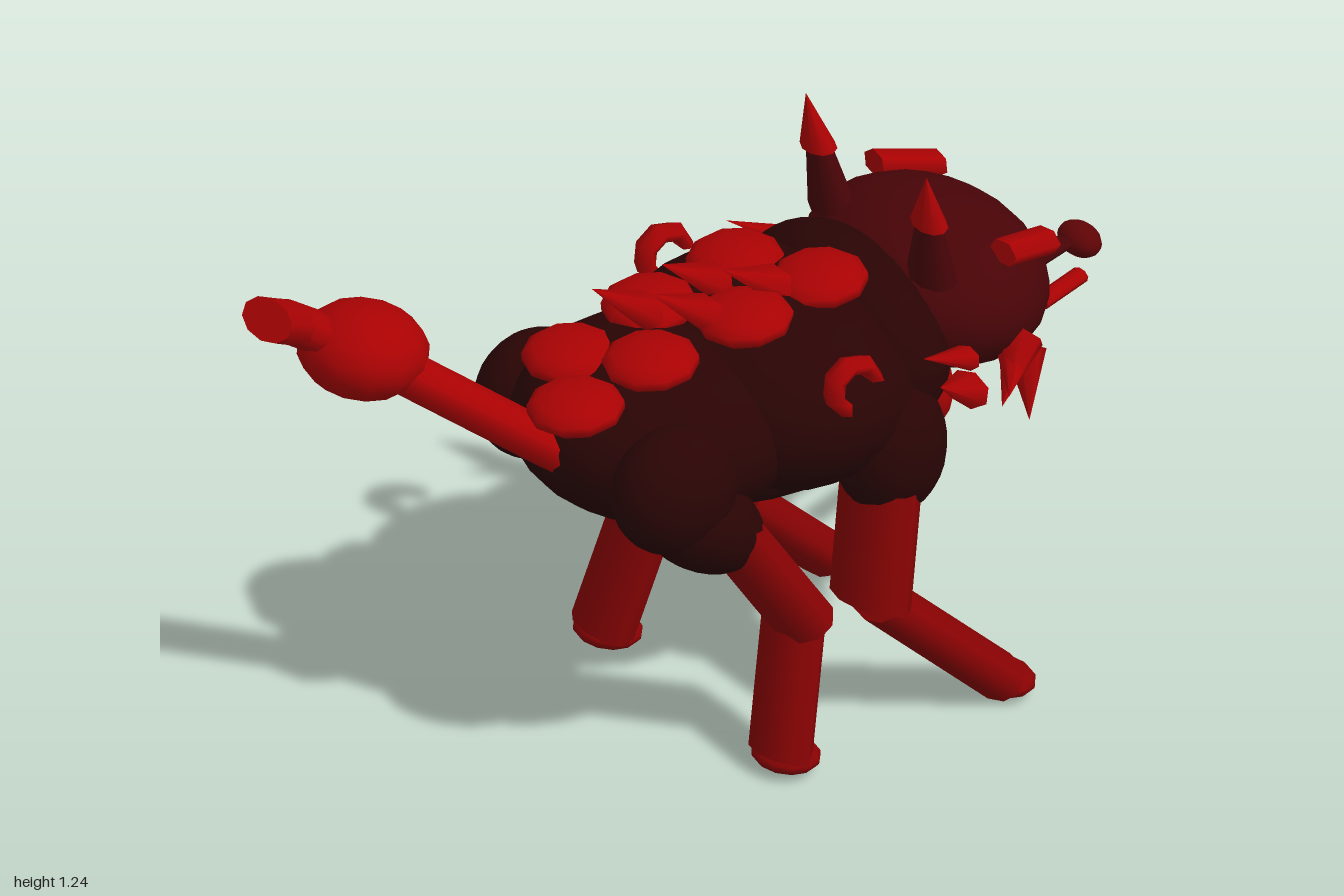
import * as THREE from 'three';

const S = 1.6; // the animal is broadened sideways by this factor
const mat = (name, color) => Object.assign(new THREE.MeshStandardMaterial({ color }), { name });

export function createModel() {
  const coat = mat('darkCoat', 0x2a0404);
  const face = mat('maroon', 0x480407);
  const noseRed = mat('noseRed', 0x5e0406);
  const limb = mat('deepRed', 0x880203);
  const red = mat('red', 0xaa0203);

  const model = new THREE.Group();
  model.name = 'animal';
  const wide = new THREE.Group();
  wide.name = 'body';
  wide.scale.z = S;
  model.add(wide);

  const V = (p) => new THREE.Vector3(p[0], p[1], p[2] / S);
  const add = (name, geo, m, p) => {
    const mesh = new THREE.Mesh(geo, m);
    mesh.name = name;
    mesh.position.copy(V(p));
    wide.add(mesh);
    return mesh;
  };
  const ball = (name, m, p, r, tilt = 0, seg = 24) => {
    const b = add(name, new THREE.SphereGeometry(1, seg, Math.ceil(seg * 0.67)), m, p);
    b.scale.set(r[0], r[1], r[2] / S);
    b.rotation.z = tilt;
    return b;
  };
  // tapered rod from a to b
  const rod = (name, m, a, b, ra, rb = ra, seg = 10) => {
    const A = V(a), d = V(b).sub(A);
    const c = add(name, new THREE.CylinderGeometry(rb, ra, d.length(), seg), m, a);
    c.position.addScaledVector(d, 0.5);
    c.quaternion.setFromUnitVectors(new THREE.Vector3(0, 1, 0), d.normalize());
    return c;
  };

  // torso
  ball('ribcage', coat, [0.15, 0.765, 0], [0.32, 0.235, 0.36]);
  ball('neck', coat, [0.35, 0.8, 0], [0.17, 0.21, 0.31]);
  ball('hindquarters', coat, [-0.13, 0.74, 0], [0.32, 0.205, 0.31], -0.05);
  ball('belly', coat, [0.1, 0.655, 0], [0.34, 0.14, 0.25]);
  ball('chestBib', red, [0.44, 0.7, 0], [0.09, 0.145, 0.245]);

  // head
  ball('head', face, [0.56, 0.865, 0], [0.235, 0.175, 0.315]);
  rod('snout', face, [0.74, 0.83, 0], [0.95, 0.805, 0], 0.06, 0.008, 16).scale.x = 0.7;
  ball('nose', noseRed, [0.96, 0.805, 0], [0.04, 0.036, 0.06], 0, 14);

  // back plates
  [[-0.4, 0.885, 0.08], [-0.3, 0.905, -0.08], [-0.2, 0.925, 0.07], [-0.08, 0.945, -0.1],
    [0.03, 0.965, 0.09], [0.14, 0.98, -0.1], [0.23, 0.988, 0.08]].forEach((p) =>
    ball('backPlate', red, p, [0.105, 0.042, 0.11], 0.1, 10));

  // mane spikes swept backward
  for (let i = 0; i < 4; i++) {
    const x = -0.13 + i * 0.09, z = i % 2 ? 0.045 : -0.045;
    rod('maneSpike', red, [x, 0.97 + i * 0.006, z], [x - 0.14, 1.07, z], 0.04, 0, 6);
  }

  // tail
  rod('tailBase', red, [-0.4, 0.75, 0.02], [-0.68, 0.945, -0.23], 0.05);
  ball('tailBulb', red, [-0.705, 0.965, -0.265], [0.14, 0.1, 0.148], -0.1, 12);
  rod('tailTip', red, [-0.76, 0.99, -0.32], [-0.88, 1.075, -0.3], 0.045);
  rod('tailTip', red, [-0.865, 1.065, -0.303], [-0.975, 1.14, -0.235], 0.045);

  // mirrored parts
  for (const s of [1, -1]) {
    const at = (x, y, z) => [x, y, z * s];

    // haunch, shoulder and legs
    ball('haunch', coat, at(-0.265, 0.72, 0.25), [0.145, 0.145, 0.115]);
    ball('thigh', coat, at(-0.2, 0.62, 0.25), [0.17, 0.105, 0.11], -0.65);
    ball('shoulder', coat, at(0.29, 0.65, 0.25), [0.125, 0.165, 0.12]);
    rod('hindUpperLeg', limb, at(-0.14, 0.6, 0.24), at(0.035, 0.33, 0.285), 0.065);
    rod('hindLowerLeg', limb, at(0.025, 0.32, 0.275), at(-0.045, 0.04, 0.325), 0.055);
    ball('hindFoot', limb, at(-0.03, 0.036, 0.325), [0.07, 0.031, 0.085], 0, 12);
    rod('frontUpperLeg', limb, at(0.28, 0.6, 0.24), at(0.22, 0.305, 0.28), 0.07);
    rod('frontLowerLeg', limb, at(0.24, 0.3, 0.275), at(0.52, 0.04, 0.325), 0.053);
    ball('frontFoot', limb, at(0.53, 0.036, 0.325), [0.065, 0.031, 0.085], 0, 12);

    // ears with bright tips
    rod('earBase', face, at(0.45, 0.97, 0.18), at(0.428, 1.125, 0.203), 0.044, 0.022);
    rod('earTip', red, at(0.428, 1.115, 0.202), at(0.408, 1.24, 0.22), 0.033, 0);

    // brow rods
    rod('brow', red, at(0.595, 1.002, 0.235), at(0.735, 0.972, 0.2), 0.027, 0.027, 6);

    // whisker rods
    rod('whisker', red, at(0.77, 0.772, 0.125), at(0.91, 0.77, 0.075), 0.015, 0.015, 8);

    // cheek spikes
    [[[0.45, 0.83, 0.31], [0.3, 0.9, 0.36], 0.025],
      [[0.46, 0.745, 0.3], [0.33, 0.83, 0.38], 0.038],
      [[0.61, 0.82, 0.28], [0.49, 0.73, 0.38], 0.04],
      [[0.63, 0.78, 0.26], [0.575, 0.66, 0.36], 0.04],
      [[0.6, 0.79, 0.27], [0.49, 0.765, 0.405], 0.038]].forEach(([a, b, r]) =>
      rod('cheekSpike', red, at(...a), at(...b), r, 0, 7));

    // hooked flank ring
    const ring = add('flankRing', new THREE.TorusGeometry(0.053, 0.02, 5, 5, 4.2), red, at(0.13, 0.885, 0.345));
    ring.rotation.z = 0.1;
  }
  return model;
}
